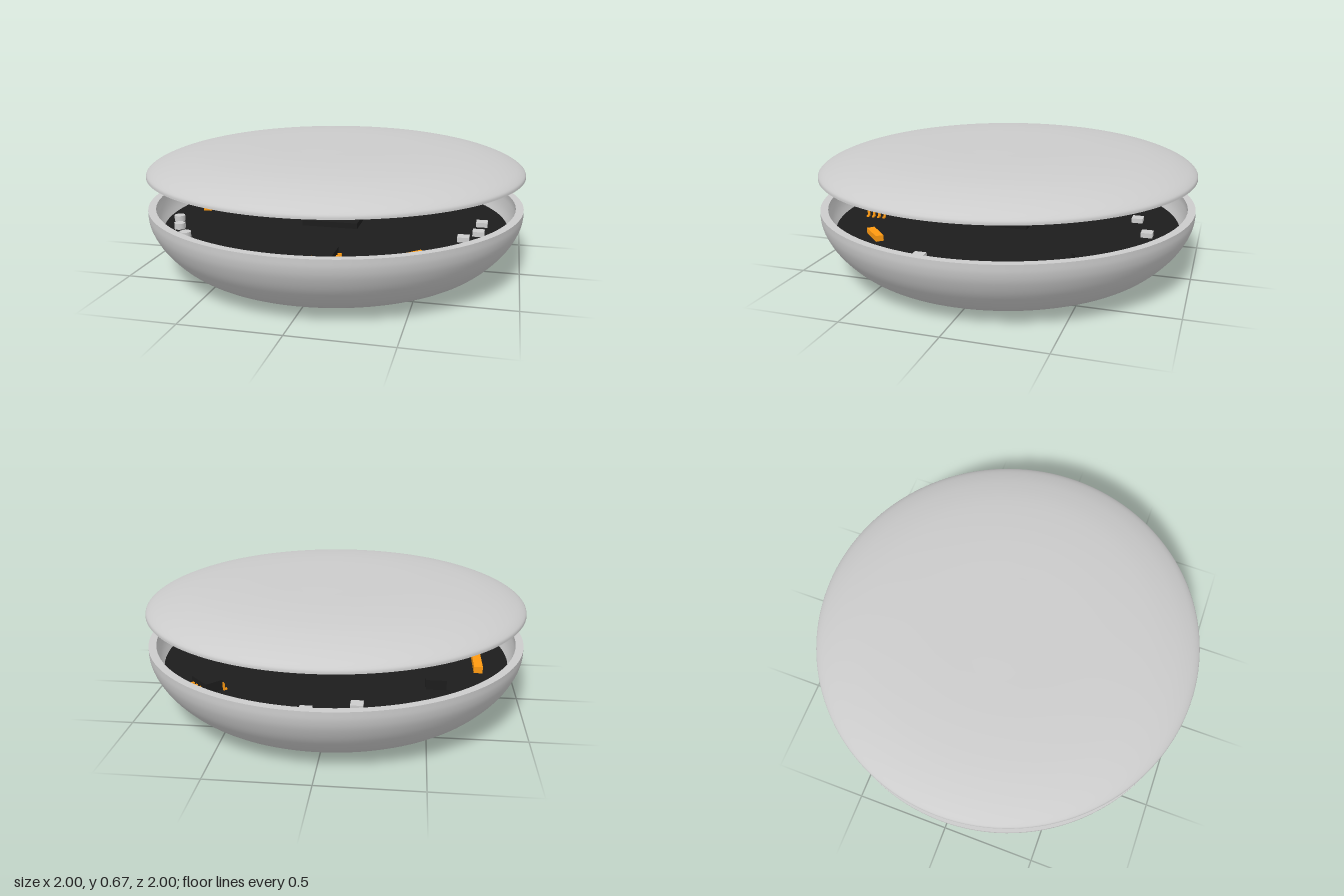
import * as THREE from 'three';

const GREY = 0xcccccc, BLACK = 0x1c1c1c, ORANGE = 0xff9a10;
const BOARD_TOP = 0.235;

function material(color, side = THREE.FrontSide) {
  return new THREE.MeshStandardMaterial({ color, side });
}

function add(parent, name, geometry, color, x = 0, y = 0, z = 0) {
  const mesh = new THREE.Mesh(geometry, material(color));
  mesh.name = name;
  mesh.position.set(x, y, z);
  parent.add(mesh);
  return mesh;
}

// Smooth surface of revolution through a few profile points
function revolve(points, divisions = 40) {
  const vectors = points.map(([r, y]) => new THREE.Vector2(r, y));
  const profile = vectors.length > 2 ? new THREE.SplineCurve(vectors).getPoints(divisions) : vectors;
  profile.forEach((p) => { p.x = Math.min(Math.max(p.x, 0), 1); });
  return new THREE.LatheGeometry(profile, 128);
}

// Hollow shell: outer skin, flat rim and inner skin meet at sharp edges
function shell(name, skins) {
  const group = new THREE.Group();
  group.name = name;
  for (const [part, points] of Object.entries(skins)) add(group, name + part, revolve(points), GREY);
  return group;
}

// Small chip with a row of bent pins on both long sides (pins run along z)
function pinnedChip(name, x, z, turn, pins = 4) {
  const chip = new THREE.Group();
  chip.name = name;
  const length = pins * 0.034;
  add(chip, 'chipBody', new THREE.BoxGeometry(0.09, 0.05, length), BLACK, 0, 0.04, 0);
  for (const side of [-1, 1]) {
    for (let i = 0; i < pins; i++) {
      const pz = (i - (pins - 1) / 2) * 0.032;
      add(chip, 'pinShoulder', new THREE.BoxGeometry(0.02, 0.008, 0.013), ORANGE, side * 0.053, 0.036, pz);
      add(chip, 'pinLeg', new THREE.BoxGeometry(0.008, 0.036, 0.013), ORANGE, side * 0.061, 0.02, pz);
      add(chip, 'pinFoot', new THREE.BoxGeometry(0.018, 0.008, 0.013), ORANGE, side * 0.07, 0.004, pz);
    }
  }
  chip.position.set(x, BOARD_TOP, z);
  chip.rotation.y = turn;
  return chip;
}

// Upright can with a dark band
function capacitor(x, z) {
  const group = new THREE.Group();
  group.name = 'capacitor';
  add(group, 'canLower', new THREE.CylinderGeometry(0.028, 0.028, 0.03, 20), GREY, 0, 0.015, 0);
  add(group, 'canBand', new THREE.CylinderGeometry(0.024, 0.024, 0.01, 20), BLACK, 0, 0.035, 0);
  add(group, 'canUpper', new THREE.CylinderGeometry(0.028, 0.028, 0.03, 20), GREY, 0, 0.055, 0);
  group.position.set(x, BOARD_TOP, z);
  return group;
}

export function createModel() {
  const model = new THREE.Group();
  model.name = 'openedRoundCase';

  // Bowl-shaped lower half
  model.add(shell('base', {
    Outer: [[0, 0], [0.3, 0.005], [0.55, 0.018], [0.7, 0.029], [0.78, 0.044], [0.86, 0.095],
      [0.94, 0.18], [0.985, 0.26], [1, 0.32], [1, 0.357]],
    Rim: [[1, 0.357], [0.96, 0.357]],
    Inner: [[0.96, 0.357], [0.958, 0.32], [0.94, 0.26], [0.9, 0.195], [0.83, 0.125],
      [0.75, 0.075], [0.55, 0.055], [0, 0.04]],
  }));

  // Shallow domed lid floating above
  model.add(shell('lid', {
    Inner: [[0, 0.63], [0.45, 0.622], [0.7, 0.604], [0.85, 0.58], [0.93, 0.555], [0.96, 0.53]],
    Rim: [[0.96, 0.53], [1, 0.53]],
    Outer: [[1, 0.53], [0.993, 0.55], [0.95, 0.577], [0.86, 0.609], [0.72, 0.638],
      [0.5, 0.658], [0.25, 0.664], [0, 0.667]],
  }));

  // Round circuit board and its components
  const board = new THREE.Group();
  board.name = 'circuitBoard';
  add(board, 'boardDisc', new THREE.CylinderGeometry(0.93, 0.93, 0.03, 96), BLACK, 0, BOARD_TOP - 0.015, 0);
  board.add(pinnedChip('frontChip', 0.12, 0.71, 0));
  board.add(pinnedChip('cornerChip', 0.57, -0.57, Math.PI / 4));
  add(board, 'mainChip', new THREE.BoxGeometry(0.3, 0.03, 0.3), BLACK, 0, BOARD_TOP + 0.015, 0);
  add(board, 'switchBlock', new THREE.BoxGeometry(0.1, 0.05, 0.1), BLACK, -0.54, BOARD_TOP + 0.025, -0.4);

  // Orange edge connectors
  const bar = new THREE.BoxGeometry(0.045, 0.035, 0.22);
  add(board, 'sideConnector', bar, ORANGE, -0.76, BOARD_TOP + 0.018, -0.11);
  const diagonal = add(board, 'frontConnector', new THREE.BoxGeometry(0.15, 0.03, 0.04), ORANGE, 0.49, BOARD_TOP + 0.015, 0.56);
  diagonal.rotation.y = Math.PI / 4;

  // Pale surface-mount blocks near the edge
  for (const [x, z] of [[0.06, -0.77], [-0.17, -0.69], [0.71, 0.22], [0.78, 0.11], [0.79, -0.06]]) {
    add(board, 'paleBlock', new THREE.BoxGeometry(0.06, 0.025, 0.06), GREY, x, BOARD_TOP + 0.0125, z);
  }

  for (const [x, z] of [[-0.62, 0.6], [-0.71, 0.47], [-0.77, 0.34]]) board.add(capacitor(x, z));
  model.add(board);
  return model;
}
